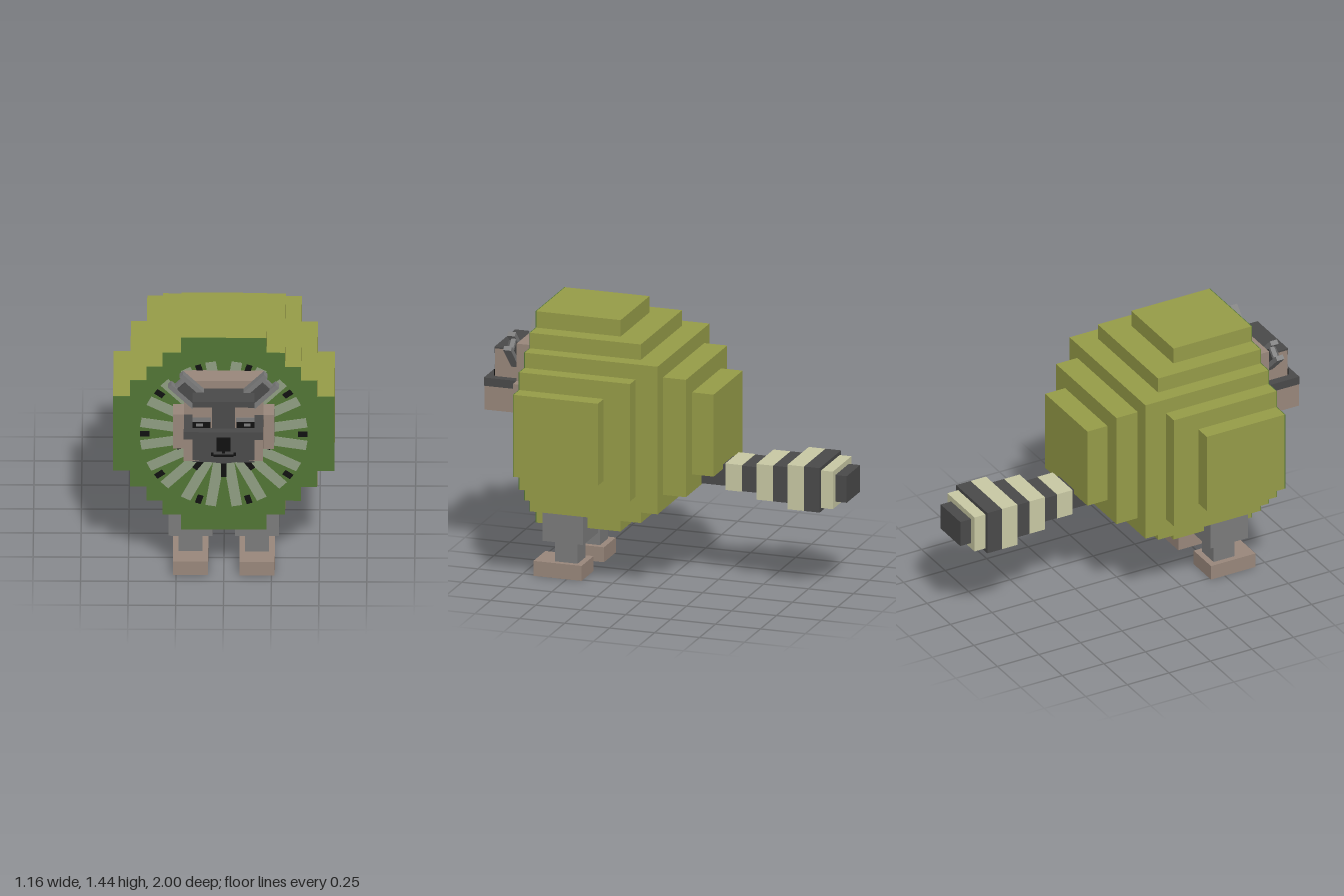
import * as THREE from 'three';

const mat = (name, color) => {
  const m = new THREE.MeshStandardMaterial({ color });
  m.name = name;
  return m;
};

export function createModel() {
  const olive = mat('olive skin', 0x969c48);
  const green = mat('fruit green', 0x527535);
  const pale = mat('pale ray', 0x8f9e82);
  const black = mat('black', 0x101010);
  const dark = mat('dark fur', 0x4a4a4a);
  const grey = mat('grey fur', 0x7b7b7b);
  const tan = mat('tan fur', 0x99877b);
  const cream = mat('cream fur', 0xc8c8a4);

  const model = new THREE.Group();

  // Box given by its limits on each axis
  function box(name, m, [x0, x1], [y0, y1], [z0, z1], parent = model) {
    const mesh = new THREE.Mesh(new THREE.BoxGeometry(x1 - x0, y1 - y0, z1 - z0), m);
    mesh.position.set((x0 + x1) / 2, (y0 + y1) / 2, (z0 + z1) / 2);
    mesh.name = name;
    parent.add(mesh);
    return mesh;
  }
  const mid = (name, m, hw, y, z, parent) => box(name, m, [-hw, hw], y, z, parent);
  const pair = (name, m, [x0, x1], y, z, parent) => {
    box(name + 'Left', m, [x0, x1], y, z, parent);
    box(name + 'Right', m, [-x1, -x0], y, z, parent);
  };

  // Stepped half-fruit body: half width, half height, back end
  const cy = 0.86, front = 0.684;
  const body = new THREE.Group();
  body.name = 'body';
  model.add(body);
  [
    [0.58, 0.225, 0.215], [0.49, 0.322, 0.068], [0.405, 0.405, -0.055],
    [0.322, 0.49, 0.068], [0.225, 0.58, 0.215],
    [0.322, 0.322, -0.183], [0.225, 0.225, -0.303],
  ].forEach(([w, h, z]) => mid('bodyStep', olive, w, [cy - h, cy + h], [z, front], body));

  // Green cut face with the stepped outline
  const steps = [0.225, 0.322, 0.405, 0.49, 0.58];
  const quarter = [];
  steps.forEach((w, i) => {
    const h = steps[4 - i];
    quarter.push([w, h]);
    if (i < 4) quarter.push([w, steps[3 - i]]);
  });
  const back = [...quarter].reverse();
  const outline = [
    ...quarter, ...back.map(([x, y]) => [x, -y]),
    ...quarter.map(([x, y]) => [-x, -y]), ...back.map(([x, y]) => [-x, y]),
  ].map(([x, y]) => new THREE.Vector2(x, y));
  const face = new THREE.Mesh(
    new THREE.ExtrudeGeometry(new THREE.Shape(outline), { depth: 0.004, bevelEnabled: false }), green);
  face.position.set(0, cy, front);
  face.name = 'cutFace';
  model.add(face);

  // Pale rays and dark seeds around the centre
  function radial(name, m, angle, r0, r1, width, z) {
    const mesh = new THREE.Mesh(new THREE.BoxGeometry(r1 - r0, width, 0.003), m);
    const r = (r0 + r1) / 2;
    mesh.position.set(Math.cos(angle) * r, cy + Math.sin(angle) * r, z);
    mesh.rotation.z = angle;
    mesh.name = name;
    model.add(mesh);
  }
  const step = Math.PI / 10;
  for (let i = 0; i < 20; i++) {
    radial('ray', pale, (i + 0.5) * step, 0.15, 0.44, 0.056, 0.689);
    if (i % 2) radial('innerSeed', black, i * step, 0.18, 0.26, 0.03, 0.692);
    else radial('outerSeed', black, i * step, 0.39, 0.44, 0.031, 0.692);
  }

  // Head blocks
  const head = new THREE.Group();
  head.name = 'head';
  model.add(head);
  mid('neck', dark, 0.17, [0.765, 0.85], [0.685, 0.765], head);
  mid('cheeks', tan, 0.265, [0.835, 1.04], [0.685, 0.8], head);
  mid('skull', tan, 0.208, [1.04, 1.245], [0.685, 0.8], head);
  mid('brow', tan, 0.163, [1.04, 1.192], [0.8, 0.937], head);
  mid('crown', dark, 0.163, [1.192, 1.2], [0.8, 0.94], head);
  mid('muzzle', tan, 0.208, [0.865, 0.995], [0.8, 0.979], head);
  mid('muzzleTop', dark, 0.208, [0.995, 1.04], [0.8, 0.982], head);
  mid('chin', dark, 0.163, [0.857, 0.865], [0.8, 0.979], head);

  // Mask markings
  mid('foreheadBand', dark, 0.163, [1.165, 1.192], [0.937, 0.94], head);
  mid('foreheadStripe', dark, 0.06, [1.04, 1.165], [0.937, 0.94], head);
  pair('eyebrow', grey, [0.065, 0.163], [1.078, 1.104], [0.937, 0.94], head);
  pair('eye', black, [0.068, 0.163], [1.042, 1.078], [0.937, 0.941], head);
  pair('pupil', grey, [0.107, 0.143], [1.052, 1.07], [0.941, 0.943], head);
  const maskShape = new THREE.Shape([
    [-0.163, 0.995], [-0.163, 0.872], [0, 0.85], [0.163, 0.872], [0.163, 0.995],
  ].map(([x, y]) => new THREE.Vector2(x, y)));
  const mask = new THREE.Mesh(
    new THREE.ExtrudeGeometry(maskShape, { depth: 0.003, bevelEnabled: false }), dark);
  mask.position.z = 0.979;
  mask.name = 'muzzleFront';
  head.add(mask);

  // Nose and mouth
  mid('nose', black, 0.037, [0.935, 1.01], [0.975, 1], head);
  mid('lipLine', black, 0.008, [0.915, 0.935], [0.981, 0.986], head);
  mid('mouth', black, 0.052, [0.893, 0.905], [0.981, 0.986], head);
  pair('mouthCorner', black, [0.052, 0.066], [0.9, 0.918], [0.981, 0.986], head);

  // Ears: tilted slabs with a dark inside
  for (const s of [1, -1]) {
    const ear = new THREE.Group();
    ear.name = s > 0 ? 'leftEar' : 'rightEar';
    ear.position.set(s * 0.1, 1.117, 0.802);
    ear.rotation.z = -s * Math.PI / 4;
    mid('earInner', dark, 0.03, [0, 0.17], [0, 0.043], ear);
    pair('earRim', grey, [0.03, 0.056], [0.02, 0.215], [0, 0.043], ear);
    mid('earBack', grey, 0.03, [0.17, 0.19], [0, 0.025], ear);
    head.add(ear);
  }

  // Legs
  pair('thigh', grey, [0.058, 0.29], [0.205, 0.37], [0.4, 0.627]);
  pair('shin', grey, [0.112, 0.237], [0.08, 0.205], [0.45, 0.575]);
  pair('foot', tan, [0.082, 0.267], [0, 0.082], [0.417, 0.685]);

  // Ringed tail: front z, back z, half width, half height
  const tail = new THREE.Group();
  tail.name = 'tail';
  model.add(tail);
  [
    [-0.15, -0.325, 0.08, 0.058], [-0.325, -0.417, 0.105, 0.073], [-0.417, -0.508, 0.105, 0.07],
    [-0.508, -0.602, 0.135, 0.098], [-0.602, -0.692, 0.135, 0.098], [-0.692, -0.785, 0.167, 0.122],
    [-0.785, -0.872, 0.167, 0.122], [-0.872, -0.937, 0.145, 0.103], [-0.937, -1, 0.105, 0.073],
  ].forEach(([z1, z0, w, h], i) =>
    mid('tailRing', i % 2 ? cream : dark, w, [0.602 - h, 0.602 + h], [z0, z1], tail));

  return model;
}
